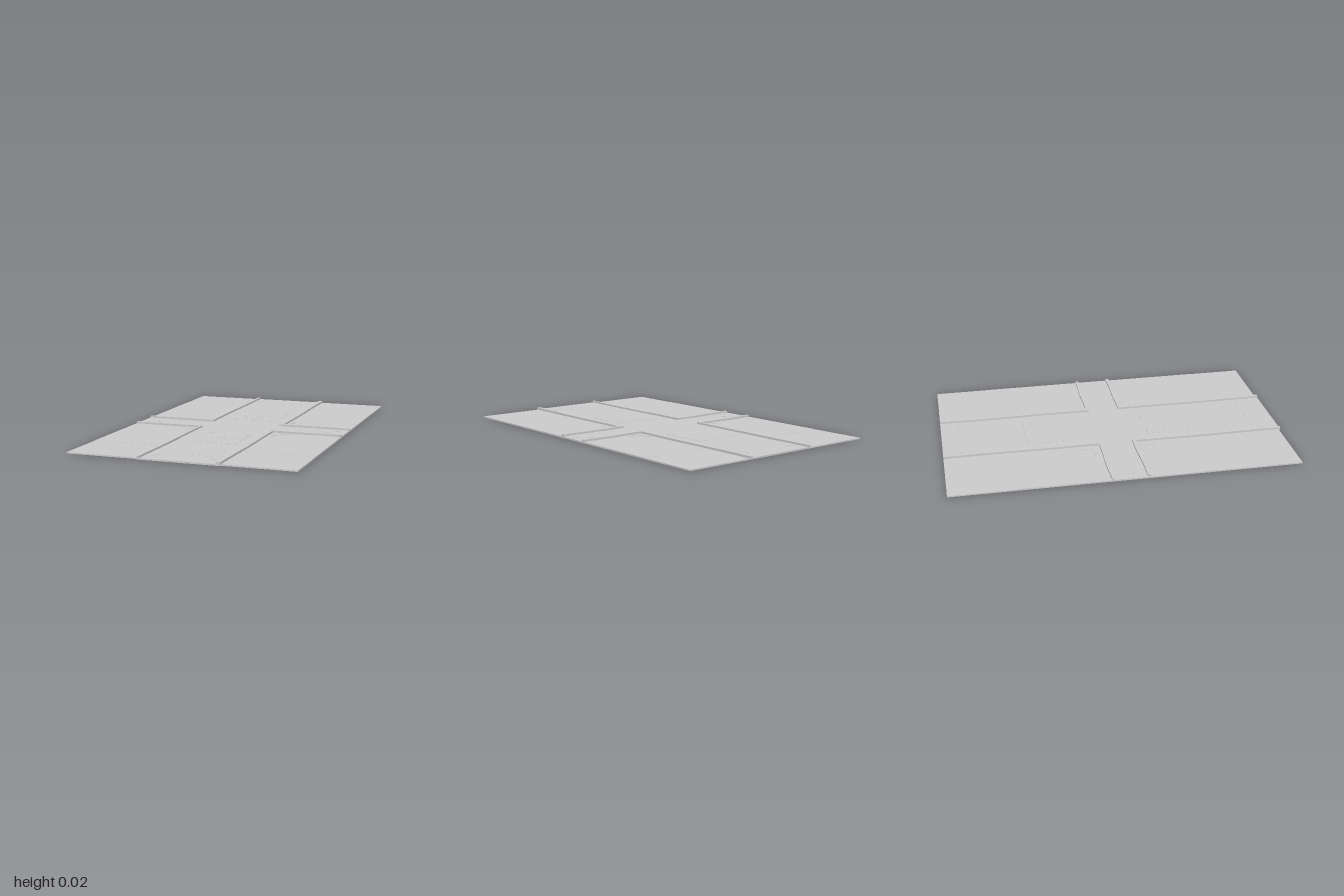
import * as THREE from 'three';

const material = new THREE.MeshStandardMaterial({ color: 0xcccccc, flatShading: true });

// Flat piece from an outline of [x, z] points, raised between two heights
function plate(name, points, y0, y1, holes = []) {
  const toVec = ([x, z]) => new THREE.Vector2(x, -z);
  const shape = new THREE.Shape(points.map(toVec));
  for (const h of holes) shape.holes.push(new THREE.Path(h.map(toVec)));
  const geo = new THREE.ExtrudeGeometry(shape, { depth: y1 - y0, bevelEnabled: false });
  geo.rotateX(-Math.PI / 2).translate(0, y0, 0);
  const mesh = new THREE.Mesh(geo, material);
  mesh.name = name;
  return mesh;
}

// Slightly hand-cut line between two points
function wavy(a, b, amount, phase, steps = 8) {
  const out = [];
  const len = Math.hypot(b[0] - a[0], b[1] - a[1]);
  const nx = -(b[1] - a[1]) / len, nz = (b[0] - a[0]) / len;
  for (let i = 0; i <= steps; i++) {
    const t = i / steps;
    const o = amount * Math.sin(t * 5 + phase) * Math.sin(t * Math.PI);
    out.push([a[0] + (b[0] - a[0]) * t + nx * o, a[1] + (b[1] - a[1]) * t + nz * o]);
  }
  return out;
}

const rect = (x0, z0, x1, z1) => [[x0, z0], [x1, z0], [x1, z1], [x0, z1]];

// Closed lobed curve
function lobed(cx, cz, rx, rz, lobes, depth, n = 48) {
  return Array.from({ length: n }, (_, i) => {
    const a = (i / n) * Math.PI * 2;
    const r = 1 + depth * Math.cos(lobes * a);
    return [cx + rx * r * Math.cos(a), cz + rz * r * Math.sin(a)];
  });
}

// Carpet with a carved rosette and corner leaves
function makeRug(cz) {
  const rug = new THREE.Group();
  rug.name = 'rug';
  const y = 0.0102, top = 0.0108;
  rug.add(plate('rugBase', rect(-0.14, cz - 0.15, 0.14, cz + 0.15), 0.009, y));
  rug.add(plate('rosetteRing', lobed(0, cz, 0.1, 0.11, 8, 0.1), y, top, [lobed(0, cz, 0.088, 0.097, 8, 0.13)]));
  rug.add(plate('innerRing', lobed(0, cz, 0.055, 0.06, 6, 0.12), y, top, [lobed(0, cz, 0.043, 0.047, 6, 0.16)]));
  rug.add(plate('rosetteHeart', lobed(0, cz, 0.022, 0.024, 5, 0.25), y, top));
  for (const sx of [-1, 1]) for (const sz of [-1, 1]) {
    rug.add(plate('cornerLeaf', lobed(sx * 0.108, cz + sz * 0.118, 0.02, 0.02, 3, 0.3, 24), y, top));
  }
  return rug;
}

export function createModel() {
  const group = new THREE.Group();

  // Paving sheets
  group.add(plate('mainPath', rect(-0.22, -1, 0.22, 1), 0, 0.009));
  for (const sx of [-1, 1]) {
    group.add(plate('crossPath', rect(sx * 0.22, -0.1, sx * 0.643, 0.1), 0, 0.009));
    for (const sz of [-1, 1]) {
      const seamZ = sz > 0 ? 0.675 : -0.655;
      const seam = wavy([sx * 0.22, seamZ], [sx * 0.643, seamZ], 0.01, sx + sz);
      const edge = sz > 0 ? 0.99 : -1;
      group.add(plate('innerSlab', [[sx * 0.643, sz * 0.1], [sx * 0.22, sz * 0.1], ...seam], 0, 0.0085));
      group.add(plate('outerSlab', [[sx * 0.643, edge], [sx * 0.22, edge], ...seam], 0, 0.0075));
    }
  }

  // L-shaped kerbs around the crossing
  for (const sx of [-1, 1]) for (const sz of [-1, 1]) {
    const xi = sx > 0 ? 0.21 : -0.215, xo = sx > 0 ? 0.235 : -0.23;
    const zi = sz > 0 ? 0.097 : -0.086, zo = sz > 0 ? 0.117 : -0.104;
    const p = sx * 1.3 + sz;
    group.add(plate('kerb', [
      ...wavy([xi, sz], [xi, zi], 0.004, p),
      ...wavy([xi, zi], [sx * 0.64, zi], 0.004, p + 1).slice(1),
      ...wavy([sx * 0.64, zo], [xo, zo], -0.004, p + 2),
      ...wavy([xo, zo], [xo, sz], -0.004, p + 3).slice(1),
    ], 0, 0.02));
  }

  // Two rugs along the main path
  for (const sz of [-1, 1]) group.add(makeRug(sz * 0.36));

  // Low carved ornaments
  for (const sx of [-1, 1]) for (const sz of [-1, 1]) {
    const corner = new THREE.Group();
    corner.name = 'cornerOrnament';
    for (const [dx, dz, r] of [[0.03, 0.035, 0.018], [0.07, 0.03, 0.013], [0.03, 0.08, 0.013], [0.1, 0.028, 0.008], [0.028, 0.11, 0.008]]) {
      corner.add(plate('scroll', lobed(sx * (0.235 + dx), sz * (0.11 + dz), r, r, 3, 0.3, 24), 0.0085, 0.0105));
    }
    group.add(corner);
    group.add(plate('pathLeaf', lobed(sx * 0.165, sz * 0.9, 0.014, 0.016, 3, 0.3, 24), 0.009, 0.0102));
    group.add(plate('endLeaf', lobed(sx * 0.59, sz * 0.045, 0.02, 0.018, 4, 0.3, 24), 0.009, 0.0102));
  }
  for (const sx of [-1, 1]) {
    group.add(plate('endFlower', lobed(sx * 0.53, 0, 0.016, 0.02, 5, 0.25, 30), 0.009, 0.0102));
  }

  // Fine border line across each end of the main path
  for (const sz of [-1, 1]) {
    group.add(plate('endBorder', rect(-0.18, sz * 0.845 - 0.002, 0.18, sz * 0.845 + 0.002), 0.009, 0.0096));
  }
  return group;
}
